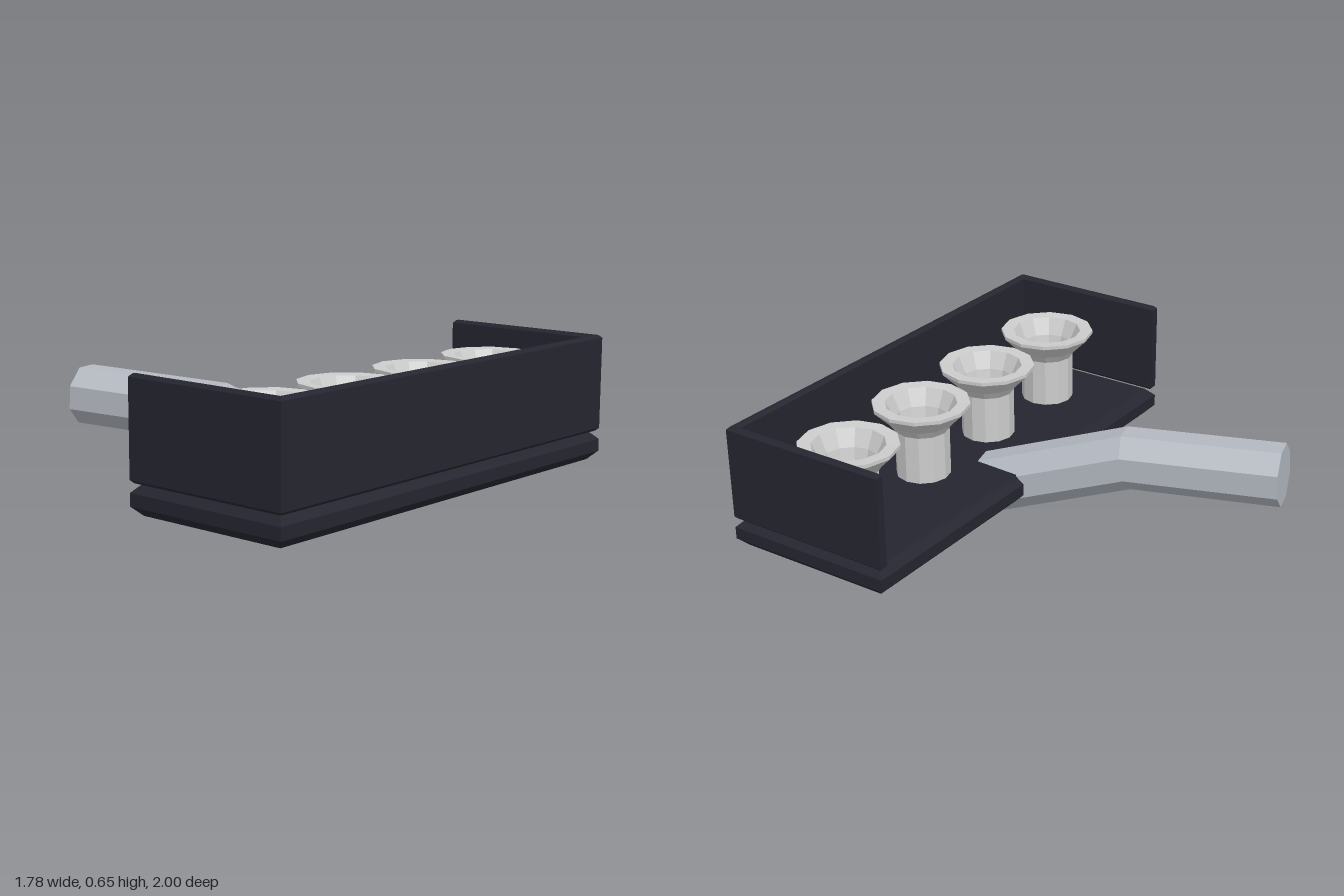
import * as THREE from 'three';

const flat = (name, color) => {
  const m = new THREE.MeshStandardMaterial({ color, flatShading: true });
  m.name = name;
  return m;
};

// Horizontal outline raised from y0 to y1 with chamfered edges
function slab(points, y0, y1, bevel) {
  const shape = new THREE.Shape(points.map(([x, z]) => new THREE.Vector2(x, -z)));
  const g = new THREE.ExtrudeGeometry(shape, {
    depth: y1 - y0 - 2 * bevel,
    bevelEnabled: true,
    bevelSize: bevel,
    bevelThickness: bevel,
    bevelSegments: 1,
  });
  return g.rotateX(-Math.PI / 2).translate(0, y0 + bevel, 0);
}

// Eight-sided pipe through the path, mitred at its bends
function pipeGeometry(path, radius) {
  const n = path.length - 1;
  const g = new THREE.CylinderGeometry(radius, radius, n, 8, n, false, Math.PI / 8);
  const pos = g.attributes.position;
  const up = new THREE.Vector3(0, 1, 0);
  const rings = path.map((p, i) => {
    const t = new THREE.Vector3();
    if (i > 0) t.add(p.clone().sub(path[i - 1]).normalize());
    if (i < n) t.add(path[i + 1].clone().sub(p).normalize());
    t.normalize();
    const v = new THREE.Vector3().crossVectors(t, up).normalize();
    return { p, v, u: new THREE.Vector3().crossVectors(t, v) };
  });
  for (let i = 0; i < pos.count; i++) {
    const { p, u, v } = rings[Math.round(pos.getY(i) + n / 2)];
    const q = p.clone().addScaledVector(u, pos.getX(i)).addScaledVector(v, pos.getZ(i));
    pos.setXYZ(i, q.x, q.y, q.z);
  }
  g.computeVertexNormals();
  return g;
}

export function createModel() {
  const group = new THREE.Group();
  const black = flat('black housing', 0x252530);
  const silver = flat('silver funnel', 0xcccccc);
  silver.side = THREE.DoubleSide;
  const steel = flat('steel pipe', 0xb4b9c1);

  const add = (name, geometry, material) => {
    const mesh = new THREE.Mesh(geometry, material);
    mesh.name = name;
    group.add(mesh);
    return mesh;
  };

  const x0 = 0.14, x1 = 0.885;

  // Chamfered base plate
  const b = 0.036;
  add('basePlate', slab([
    [x0 + b, 1 - b], [x1 - b, 1 - b], [x1 - b, -1 + b], [x0 + b, -1 + b],
  ], 0.12, 0.243, b), black);

  // Three walls around the plate, open on the pipe side
  const c = 0.012, t = 0.037 - c;
  add('walls', slab([
    [x0 + c, 1 - c], [x1 - c, 1 - c], [x1 - c, -1 + c], [x0 + c, -1 + c],
    [x0 + c, -1 + t], [x1 - t, -1 + t], [x1 - t, 1 - t], [x0 + c, 1 - t],
  ], 0.243, 0.65, c), black);

  // Row of four intake funnels
  const profile = [
    [0.115, 0.24], [0.115, 0.45], [0.14, 0.485], [0.205, 0.55],
    [0.205, 0.565], [0.15, 0.562], [0.115, 0.49], [0.102, 0.43], [0.102, 0.24],
  ].map(([r, y]) => new THREE.Vector2(r, y));
  const funnel = new THREE.LatheGeometry(profile, 12);
  for (let i = 0; i < 4; i++) {
    add('funnel' + (i + 1), funnel, silver).position.set(0.515, 0, -0.715 + 0.46 * i);
  }

  // Bent feed pipe entering under the plate
  add('feedPipe', pipeGeometry([
    new THREE.Vector3(-0.86, 0.37, 0.327),
    new THREE.Vector3(-0.235, 0.342, 0.16),
    new THREE.Vector3(0.4, 0.114, -0.01),
  ], 0.13), steel);

  return group;
}
